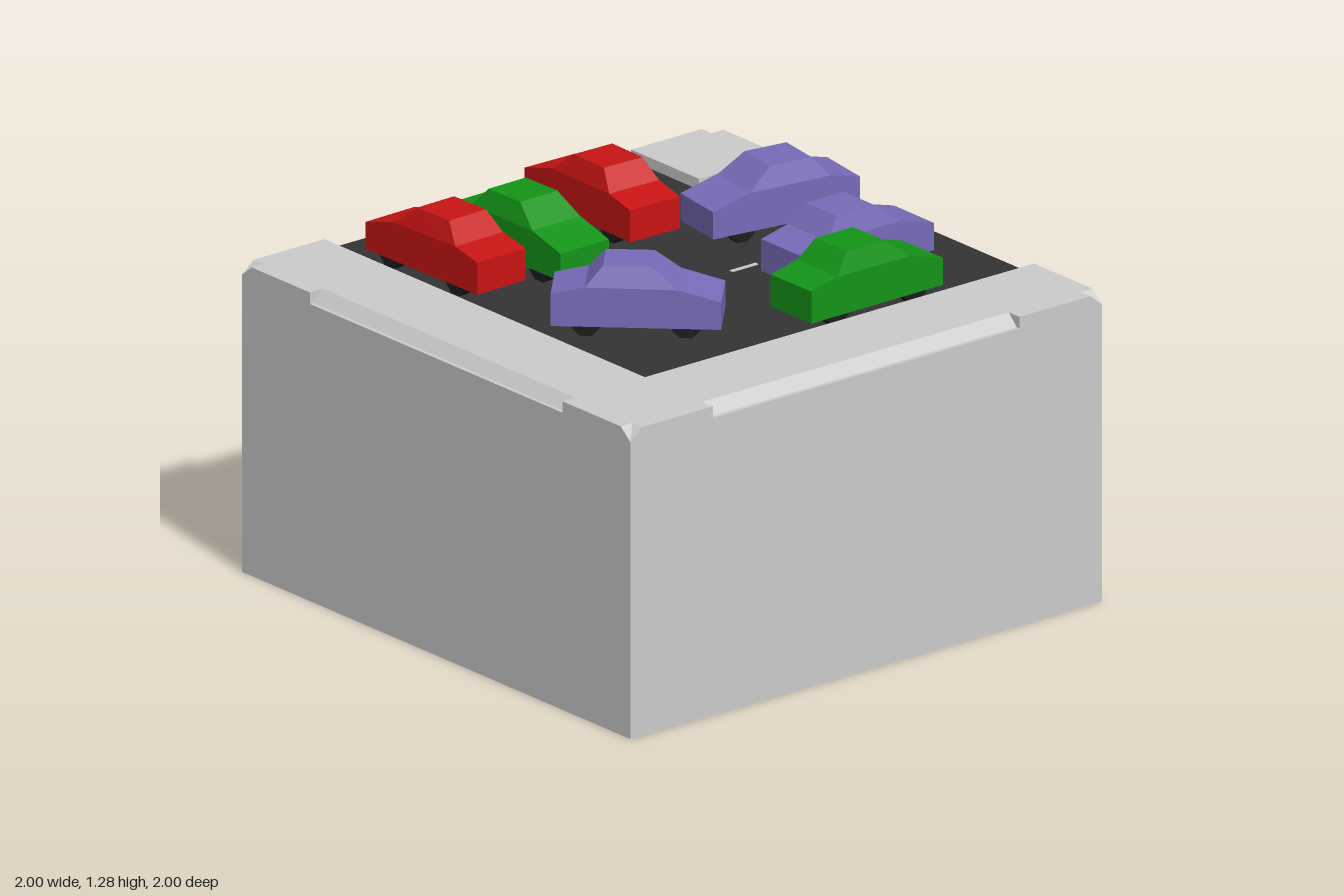
import * as THREE from 'three';
import { ConvexGeometry } from 'three/addons/geometries/ConvexGeometry.js';

const GROUND = 1.04, CURB = 1.08, ROOF = 1.28;
const mat = (color) => new THREE.MeshStandardMaterial({ color, flatShading: true });
const grey = mat(0xcccccc), asphalt = mat(0x333333), tyre = mat(0x1c1c1c);
const red = mat(0xc81414), green = mat(0x149418), purple = mat(0x776bb8);

function add(parent, name, geometry, material, x = 0, y = 0, z = 0) {
  const mesh = new THREE.Mesh(geometry, material);
  mesh.name = name;
  mesh.position.set(x, y, z);
  parent.add(mesh);
  return mesh;
}

const hull = (points) => new ConvexGeometry(points.map((p) => new THREE.Vector3(...p)));

// Flat slab from an outline of [x, z] points, between road and curb height
function slab(parent, name, outline) {
  const shape = new THREE.Shape(outline.map(([x, z]) => new THREE.Vector2(x, z)));
  const geo = new THREE.ExtrudeGeometry(shape, { depth: CURB - GROUND, bevelEnabled: false });
  geo.rotateX(Math.PI / 2);
  add(parent, name, geo, grey, 0, CURB, 0);
}

// Valley-shaped dip at a block corner, made of two sloping wedges
function cornerDip(parent, sx, sz) {
  const inner = 0.95;
  for (const [ax, az] of [[inner, 1], [1, inner]]) {
    const points = [[sx, GROUND, sz]];
    for (const y of [GROUND, CURB]) {
      points.push([ax * sx, y, az * sz], [inner * sx, y, inner * sz]);
    }
    add(parent, 'cornerDip', hull(points), grey);
  }
}

// Car pointing along +x, then turned to face (dx, dz)
function car(parent, name, paint, x, z, dx, dz) {
  const g = new THREE.Group();
  g.name = name;
  g.position.set(x, 0, z);
  g.rotation.y = Math.atan2(-dz, dx);

  const half = 0.104;
  const profile = [[-0.28, 1.075], [0.28, 1.075], [0.28, 1.17], [0.14, 1.21], [-0.17, 1.212], [-0.28, 1.187]];
  const shape = new THREE.Shape(profile.map((p) => new THREE.Vector2(...p)));
  add(g, 'body', new THREE.ExtrudeGeometry(shape, { depth: half * 2, bevelEnabled: false }), paint, 0, 0, -half);

  const cabin = [];
  for (const s of [-1, 1]) {
    cabin.push([-0.17, 1.21, s * half], [0.14, 1.208, s * half], [-0.11, ROOF, s * 0.08], [0.05, ROOF, s * 0.08]);
  }
  add(g, 'cabin', hull(cabin), paint);

  for (const wx of [-0.165, 0.165]) {
    for (const s of [-1, 1]) {
      const wheel = new THREE.CylinderGeometry(0.05, 0.05, 0.04, 8).rotateY(Math.PI / 8).rotateX(Math.PI / 2);
      add(g, 'wheel', wheel, tyre, wx, GROUND + 0.047, s * 0.08);
    }
  }
  parent.add(g);
}

export function createModel() {
  const model = new THREE.Group();
  model.name = 'streetCornerBlock';

  // Block and road surface
  add(model, 'block', new THREE.BoxGeometry(2, GROUND, 2), grey, 0, GROUND / 2, 0);
  add(model, 'road', new THREE.BoxGeometry(1.65, 0.002, 1.65), asphalt, 0.175, GROUND + 0.001, -0.175);

  // Lane dashes along both arms of the road
  for (const d of [0.305, 0.605, 0.905]) {
    add(model, 'laneDash', new THREE.BoxGeometry(0.015, 0.004, 0.11), grey, 0, GROUND + 0.003, -d);
    add(model, 'laneDash', new THREE.BoxGeometry(0.11, 0.004, 0.015), grey, d, GROUND + 0.003, 0);
  }

  // L-shaped sidewalk with edge notches, and the separate corner pad
  const c = 0.95, n = 0.945, r = 0.65;
  slab(model, 'sidewalk', [
    [-c, -1], [-r, -1], [-r, r], [1, r], [1, c], [c, c], [c, 1],
    [r, 1], [r, n], [-r, n], [-r, 1], [-c, 1], [-c, c], [-1, c],
    [-1, r], [-n, r], [-n, -r], [-1, -r], [-1, -c], [-c, -c],
  ]);
  slab(model, 'cornerPad', [[r, -1], [c, -1], [c, -c], [1, -c], [1, -r], [r, -r]]);
  for (const sx of [-1, 1]) for (const sz of [-1, 1]) cornerDip(model, sx, sz);

  // Sloped faces inside the two edge notches
  const section = [[n, GROUND], [n, CURB], [0.985, GROUND]];
  const front = [], side = [];
  for (const end of [-r, r]) {
    for (const [out, y] of section) {
      front.push([end, y, out]);
      side.push([-out, y, end]);
    }
  }
  add(model, 'frontNotchSlope', hull(front), grey);
  add(model, 'sideNotchSlope', hull(side), grey);

  // Traffic
  car(model, 'redCar', red, -0.485, -0.577, -0.025, -1);
  car(model, 'greenCar', green, -0.193, -0.502, 0.02, 1);
  car(model, 'redCar', red, 0.222, -0.628, 0.025, -1);
  car(model, 'purpleCar', purple, 0.63, -0.26, -0.55, -0.082);
  car(model, 'purpleCar', purple, -0.305, 0.195, 0.41, 0.385);
  car(model, 'purpleCar', purple, 0.555, 0.23, 1, 0.005);
  car(model, 'greenCar', green, 0.372, 0.5, 1, -0.005);
  return model;
}
